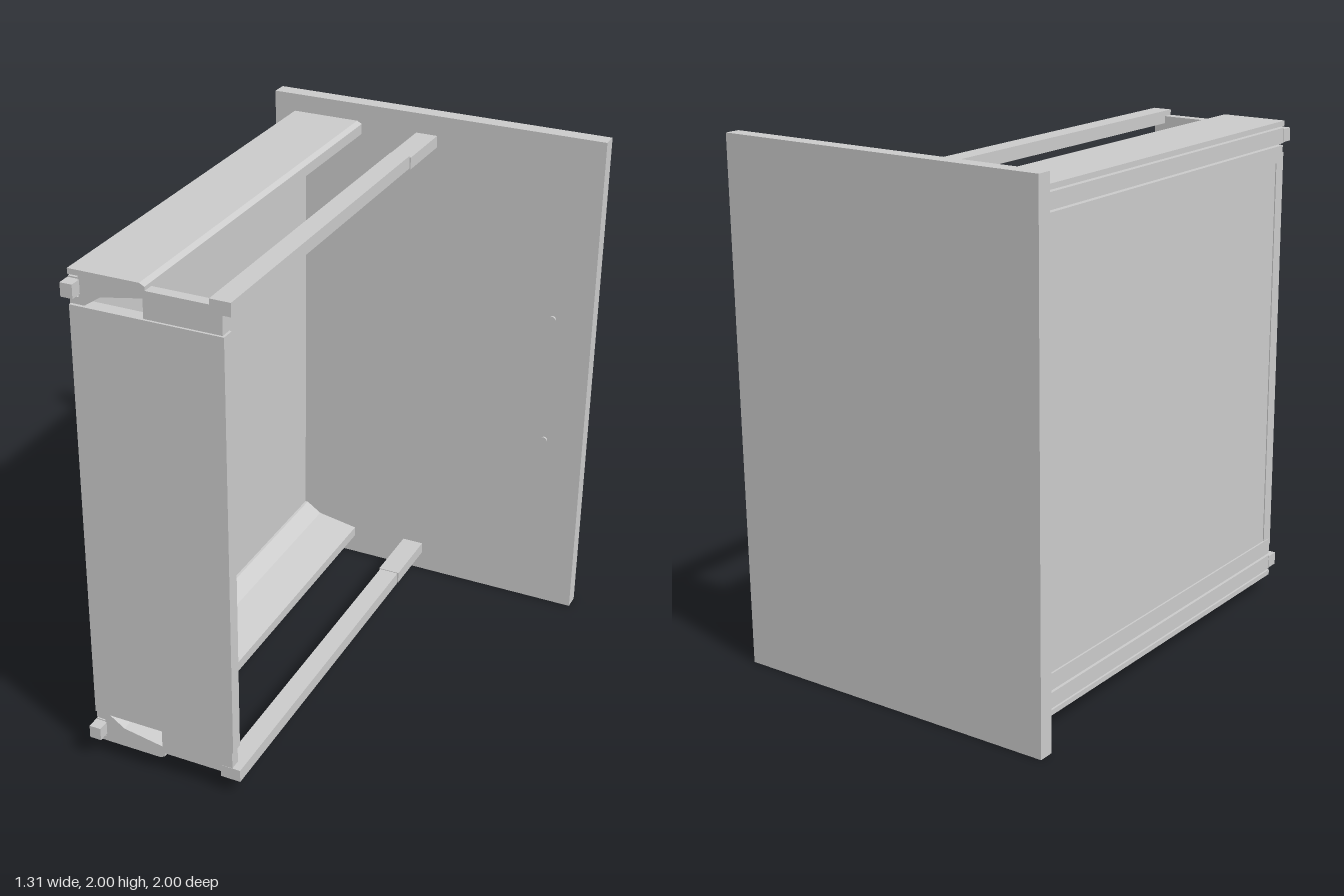
import * as THREE from 'three';

const material = new THREE.MeshStandardMaterial({ color: 0xcccccc, flatShading: true });

function add(parent, name, geometry) {
  const mesh = new THREE.Mesh(geometry, material);
  mesh.name = name;
  parent.add(mesh);
  return mesh;
}

// Box given by its limits along each axis
function box(parent, name, [x0, x1], [y0, y1], [z0, z1]) {
  const mesh = add(parent, name, new THREE.BoxGeometry(x1 - x0, Math.abs(y1 - y0), z1 - z0));
  mesh.position.set((x0 + x1) / 2, (y0 + y1) / 2, (z0 + z1) / 2);
  return mesh;
}

// Cross-section in x and y, drawn out along z
function bar(parent, name, points, z0, z1) {
  const shape = new THREE.Shape(points.map(([x, y]) => new THREE.Vector2(x, y)));
  const mesh = add(parent, name, new THREE.ExtrudeGeometry(shape, { depth: z1 - z0, bevelEnabled: false }));
  mesh.position.z = z0;
  return mesh;
}

export function createModel() {
  const model = new THREE.Group();
  model.name = 'drawer';

  // The drawer lies on its side and is turned about the upright axis
  const drawer = new THREE.Group();
  drawer.name = 'drawerBody';
  drawer.rotation.y = 0.235;
  model.add(drawer);

  // Front panel with its two small screw heads
  box(drawer, 'frontPanel', [-0.476, 0.853], [0, 2], [-0.824, -0.763]);
  for (const y of [0.745, 1.27]) {
    const screw = add(drawer, 'screwHead', new THREE.CylinderGeometry(0.012, 0.012, 0.012, 16));
    screw.rotation.x = Math.PI / 2;
    screw.position.set(0.697, y, -0.76);
  }

  // Bottom and back boards
  box(drawer, 'bottomBoard', [-0.384, -0.345], [0.18, 1.82], [-0.763, 0.885]);
  box(drawer, 'backBoard', [-0.388, 0.171], [0.195, 1.81], [0.845, 0.897]);

  // Matching parts at both sides
  for (const top of [true, false]) {
    const m = (y) => (top ? y : 2 - y);
    const side = new THREE.Group();
    side.name = top ? 'upperSide' : 'lowerSide';
    drawer.add(side);

    // Hollow-backed side wall with a channel for the runner
    const profile = [
      [-0.393, 1.932], [-0.13, 1.932], [-0.111, 1.922], [-0.111, 1.882],
      [-0.275, 1.853], [-0.335, 1.812], [-0.384, 1.812], [-0.384, 1.838],
      [-0.355, 1.838], [-0.355, 1.912], [-0.393, 1.912],
    ].map(([x, y]) => [x, m(y)]);
    bar(side, 'sideWall', profile, -0.763, 0.888);

    // Runner with its projecting rear hook
    box(side, 'runner', [-0.393, -0.354], [m(1.846), m(1.905)], [-0.65, 0.885]);
    box(side, 'runnerHook', [-0.395, -0.35], [m(1.85), m(1.9)], [0.88, 0.932]);

    // Folded edge under the bottom board
    box(side, 'bottomFlange', [-0.391, -0.383], [m(1.775), m(1.838)], [-0.76, 0.885]);

    // Bracket joining the side, the back board and the gallery rail
    box(side, 'backBracket', [-0.12, 0.162], [m(1.805), m(1.908)], [0.846, 0.888]);

    // Gallery rail with a sleeve at the front panel
    box(side, 'galleryRail', [0.117, 0.193], [m(1.88), m(1.929)], [-0.51, 0.889]);
    box(side, 'railSleeve', [0.113, 0.198], [m(1.877), m(1.923)], [-0.763, -0.51]);
  }

  return model;
}
